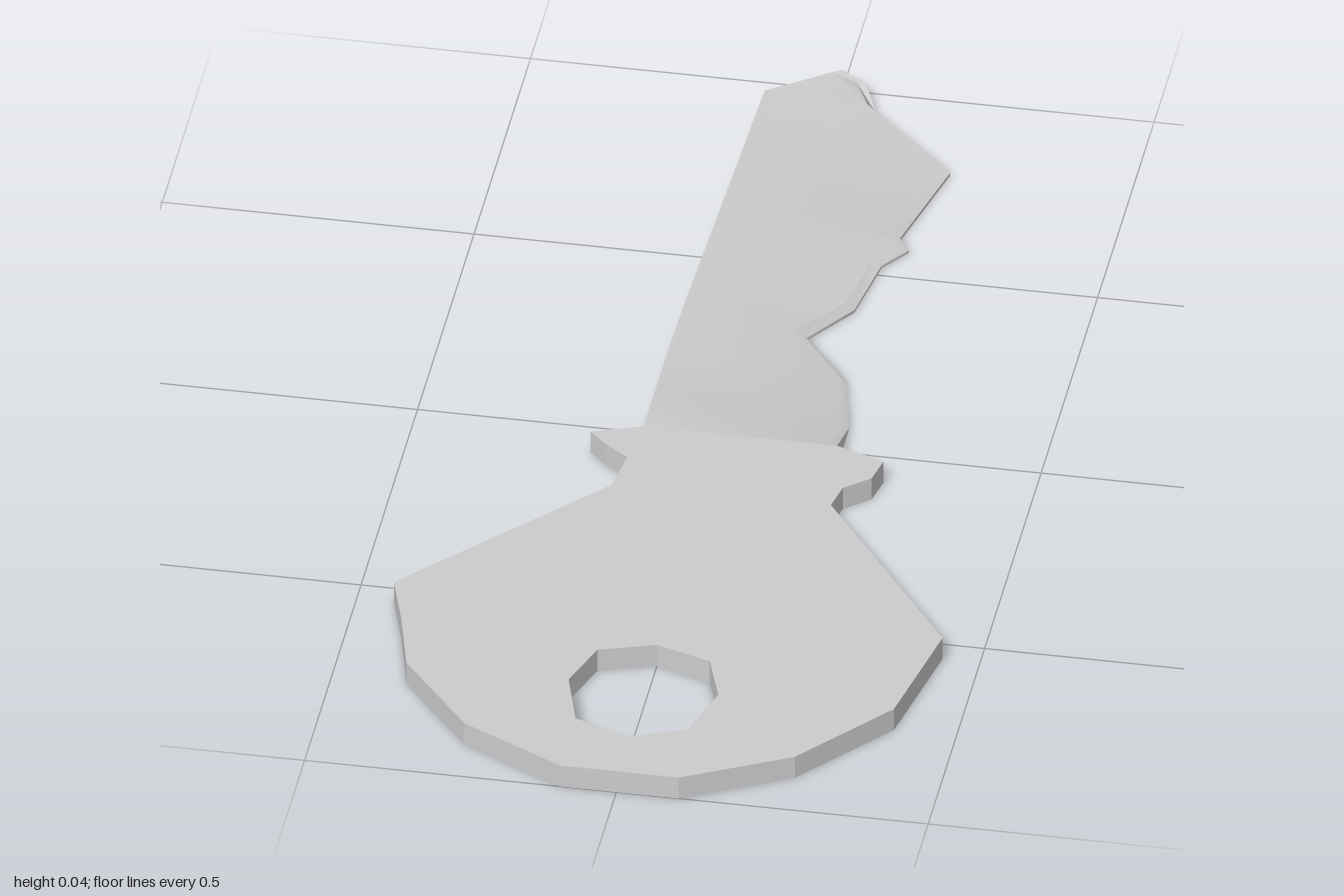
import * as THREE from 'three';
import { toCreasedNormals } from 'three/addons/utils/BufferGeometryUtils.js';

const T = 0.04; // thickness of the key
const EDGE = 0.005; // height of the thinned cutting edge
const material = new THREE.MeshStandardMaterial({ color: 0xcccccc });

// Points are given as [x, z]; the shape lies in x, -z and is laid flat later.
const flat = (points) => points.map(([x, z]) => new THREE.Vector2(x, -z));

// Flat bow with the shoulders and the eight-sided ring hole
function createBow() {
  const shape = new THREE.Shape(flat([
    [-0.13, 0.04], [-0.21, 0.07], [-0.18, 0.10], [-0.14, 0.13], [-0.15, 0.21],
    [-0.44, 0.54], [-0.41, 0.64], [-0.38, 0.76], [-0.26, 0.91], [-0.09, 1],
    [0.10, 1], [0.27, 0.91], [0.40, 0.75], [0.44, 0.54],
    [0.20, 0.205], [0.21, 0.155], [0.25, 0.12], [0.26, 0.07], [0.18, 0.04],
  ]));
  shape.holes.push(new THREE.Path(flat([
    [0, 0.64], [0.09, 0.67], [0.12, 0.76], [0.09, 0.865],
    [0, 0.90], [-0.09, 0.865], [-0.12, 0.76], [-0.09, 0.67],
  ])));
  const geometry = new THREE.ExtrudeGeometry(shape, { depth: T, bevelEnabled: false });
  geometry.rotateX(-Math.PI / 2);
  return geometry;
}

// Straight back edge of the blade
function backX(z) {
  if (z > -0.24) return -0.13;
  if (z > -0.92) return THREE.MathUtils.mapLinear(z, -0.24, -0.92, -0.13, -0.11);
  return THREE.MathUtils.mapLinear(z, -0.92, -1, -0.11, 0);
}

// Blade lofted through wedge sections, thick at the back and thin at the teeth
function createBlade() {
  // [z, x of the toothed edge, height of that edge]
  const stations = [
    [0.04, 0.18, T], [-0.06, 0.18, EDGE], [-0.19, 0.155, EDGE], [-0.30, 0.07, EDGE],
    [-0.39, 0.13, EDGE], [-0.52, 0.15, EDGE], [-0.57, 0.185, EDGE], [-0.60, 0.165, EDGE],
    [-0.795, 0.21, EDGE], [-0.92, 0.085, EDGE], [-0.94, 0.065, EDGE], [-0.99, 0.04, 0.025],
    [-1, 0, T],
  ];
  const sections = stations.map(([z, x, h]) => {
    const left = backX(z);
    const ridge = Math.max(left, x - 0.015);
    const slope = T - 0.035 * (ridge + 0.13) / 0.34;
    const ridgeY = h === T ? T : Math.max(h, slope);
    return [[left, 0, z], [x, 0, z], [x, h, z], [ridge, ridgeY, z], [left, T, z]];
  });
  const positions = [];
  for (let i = 0; i < sections.length - 1; i++) {
    for (let j = 0; j < 5; j++) {
      const k = (j + 1) % 5;
      const a = sections[i][j], b = sections[i][k];
      const c = sections[i + 1][k], d = sections[i + 1][j];
      positions.push(...a, ...c, ...b, ...a, ...d, ...c);
    }
  }
  const geometry = new THREE.BufferGeometry();
  geometry.setAttribute('position', new THREE.Float32BufferAttribute(positions, 3));
  return toCreasedNormals(geometry, 0.45);
}

export function createModel() {
  const key = new THREE.Group();
  key.name = 'key';
  for (const [name, geometry] of [['bow', createBow()], ['blade', createBlade()]]) {
    const mesh = new THREE.Mesh(geometry, material);
    mesh.name = name;
    key.add(mesh);
  }
  return key;
}
